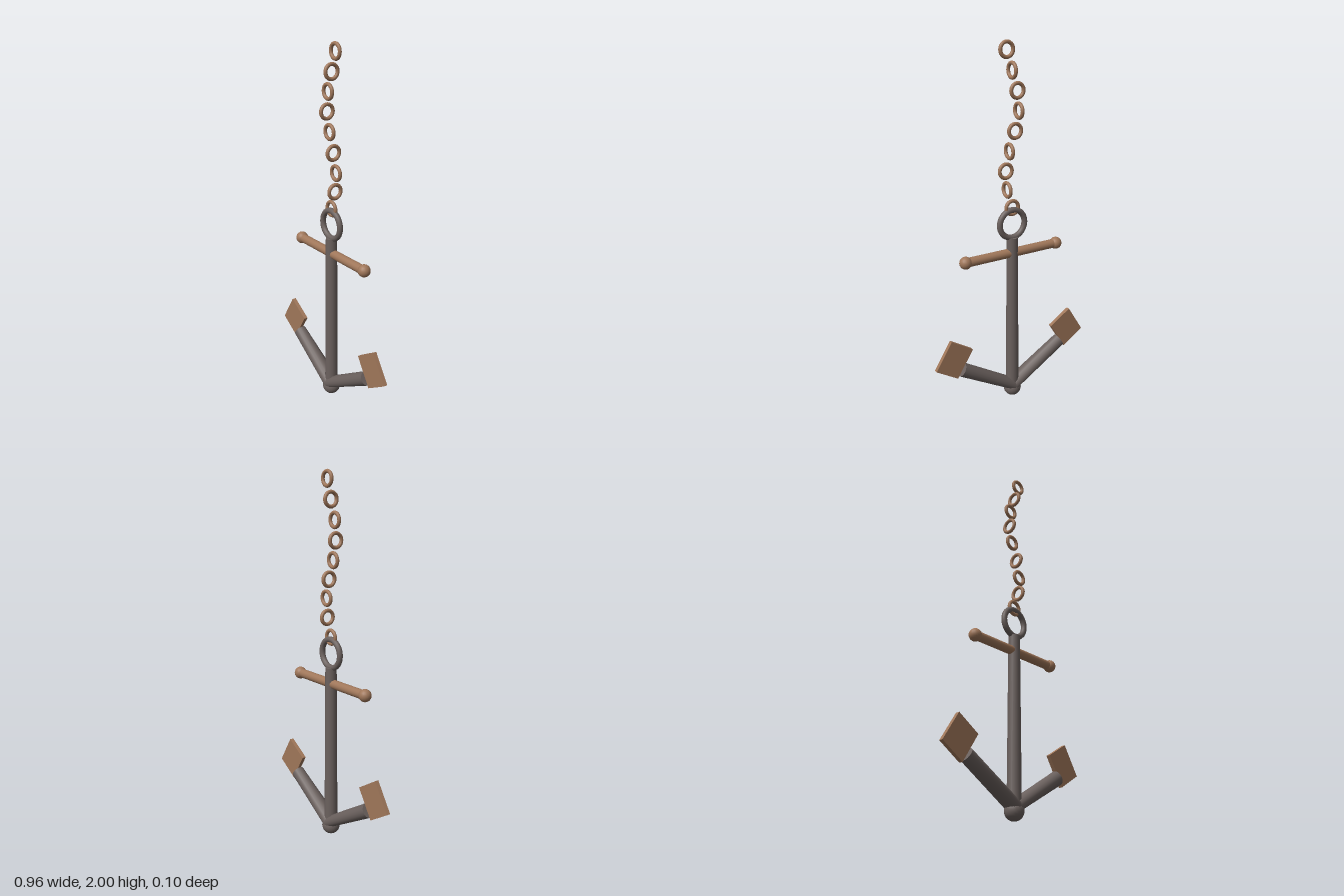
import * as THREE from 'three';

export function createModel() {
  const model = new THREE.Group();
  model.name = 'anchor';

  const iron = new THREE.MeshStandardMaterial({ color: 0x6b615e });
  iron.name = 'dark iron';
  const bronze = new THREE.MeshStandardMaterial({ color: 0xa0775a });
  bronze.name = 'bronze';

  const add = (name, geometry, material, x = 0, y = 0, z = 0) => {
    const mesh = new THREE.Mesh(geometry, material);
    mesh.name = name;
    mesh.position.set(x, y, z);
    model.add(mesh);
    return mesh;
  };

  // Shank, crown and top ring
  add('shank', new THREE.CylinderGeometry(0.031, 0.037, 0.92, 16), iron, 0, 0.51);
  add('crown', new THREE.SphereGeometry(0.05, 20, 14), iron, 0, 0.05);
  add('topRing', new THREE.TorusGeometry(0.077, 0.016, 12, 36), iron, 0, 1.047);

  // Crossbar with a ball on each end
  add('stock', new THREE.CylinderGeometry(0.025, 0.025, 0.58, 16), bronze, 0, 0.882).rotation.z = Math.PI / 2;

  // Arm: deep at the crown, rounder towards the fluke
  const start = new THREE.Vector2(0, 0.07);
  const end = new THREE.Vector2(0.325, 0.262);
  const length = start.distanceTo(end);
  const armAngle = Math.atan2(end.y - start.y, end.x - start.x);
  const armGeometry = new THREE.CylinderGeometry(0.04, 0.032, length, 16);
  const p = armGeometry.attributes.position;
  for (let i = 0; i < p.count; i++) {
    const t = p.getY(i) / length + 0.5;
    p.setZ(i, p.getZ(i) * THREE.MathUtils.lerp(0.05 / 0.032, 0.036 / 0.04, t));
  }

  for (const side of [1, -1]) {
    const label = side > 0 ? 'left' : 'right';
    add(label + 'StockBall', new THREE.SphereGeometry(0.034, 18, 12), bronze, side * 0.286, 0.882);
    add(label + 'Arm', armGeometry, iron, side * end.x / 2, (start.y + end.y) / 2)
      .rotation.z = side * (armAngle - Math.PI / 2);
    // Flat plate at the arm tip
    add(label + 'Fluke', new THREE.BoxGeometry(0.15, 0.18, 0.022), bronze, side * 0.371, 0.335)
      .rotation.z = side * 0.56;
  }

  // Swaying chain, every second link turned a quarter
  const linkGeometry = new THREE.TorusGeometry(0.037, 0.01, 10, 24);
  for (let i = 0; i < 9; i++) {
    const link = add('chainLink' + (i + 1), linkGeometry, bronze, 0.04 * Math.sin(i * 0.9), 1.137 + i * 0.102);
    link.rotation.y = (i % 2) * Math.PI / 2;
  }

  return model;
}
